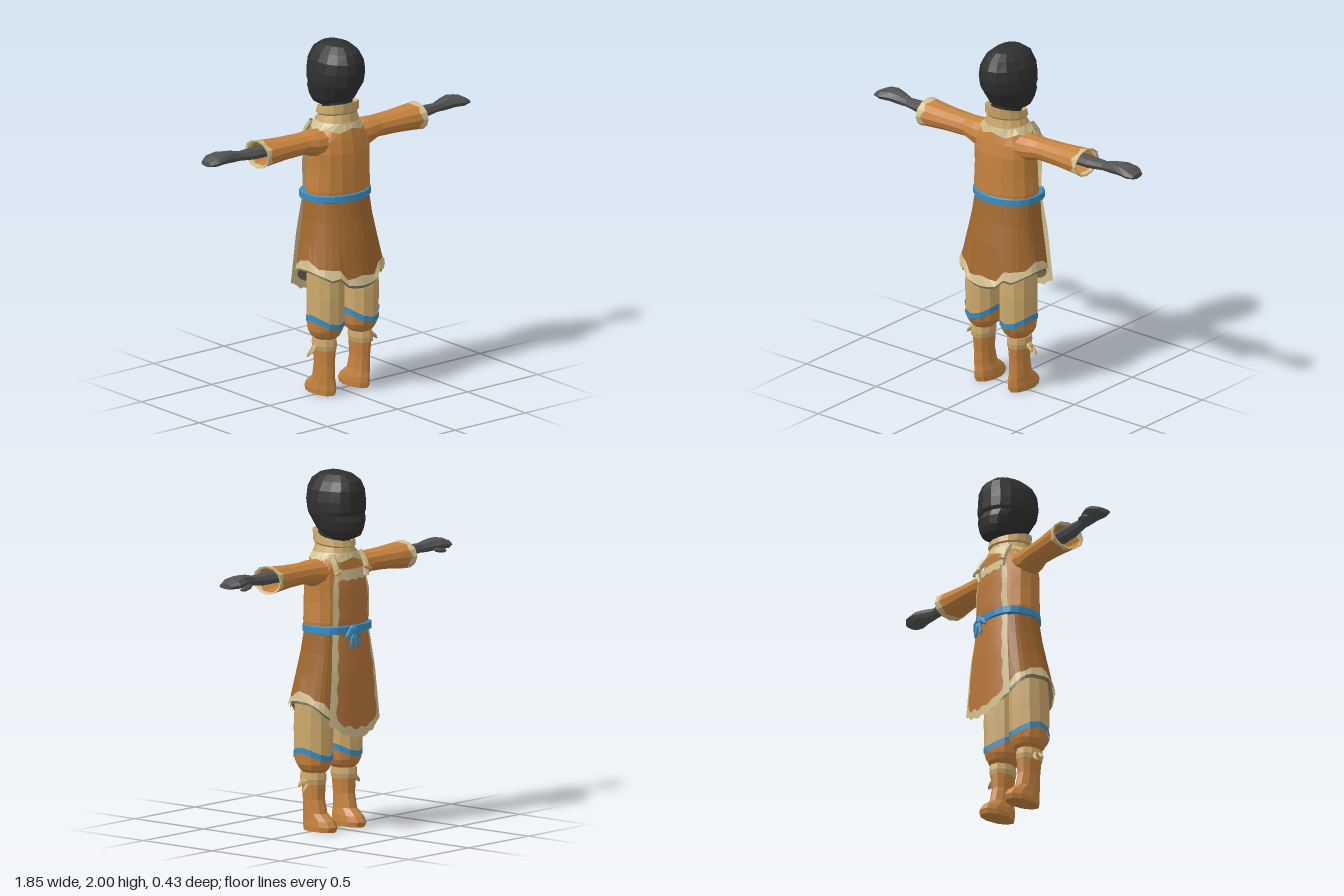
import * as THREE from 'three';
import { ParametricGeometry } from 'three/addons/geometries/ParametricGeometry.js';

const material = (name, color) => {
  const m = new THREE.MeshStandardMaterial({ color, flatShading: true, side: THREE.DoubleSide });
  m.name = name;
  return m;
};

// Skin through rings [y, rx, zBack, zFront, cx]; y may depend on the angle (0 = +z).
// p below 1 squares off the -z half.
function loft(rings, { n = 16, p = 1, caps = true } = {}) {
  const pos = [], index = [];
  const val = (y, a) => (typeof y === 'function' ? y(a) : y);
  for (const [y, rx, zb, zf, cx = 0] of rings) {
    for (let i = 0; i < n; i++) {
      let a = (i / n) * Math.PI * 2;
      if (a > Math.PI) a -= Math.PI * 2;
      const s = Math.sin(a), c = Math.cos(a), e = c < 0 ? p : 1;
      pos.push(cx + rx * Math.sign(s) * Math.abs(s) ** e, val(y, a),
        (zb + zf) / 2 + ((zb - zf) / 2) * Math.sign(c) * Math.abs(c) ** e);
    }
  }
  const up = val(rings[rings.length - 1][0], 0) > val(rings[0][0], 0);
  const tri = (a, b, c) => (up ? index.push(a, b, c) : index.push(a, c, b));
  for (let r = 0; r < rings.length - 1; r++) {
    for (let i = 0; i < n; i++) {
      const j = (i + 1) % n, a = r * n + i, b = r * n + j;
      tri(a, b, b + n);
      tri(a, b + n, a + n);
    }
  }
  if (caps) {
    const t = (rings.length - 1) * n;
    for (let i = 1; i < n - 1; i++) {
      tri(0, i + 1, i);
      tri(t, t + i, t + i + 1);
    }
  }
  const g = new THREE.BufferGeometry();
  g.setAttribute('position', new THREE.Float32BufferAttribute(pos, 3));
  g.setIndex(index);
  g.computeVertexNormals();
  return g;
}

function mirrored(geo) {
  const g = geo.clone().scale(-1, 1, 1), ix = g.index;
  for (let i = 0; i < ix.count; i += 3) {
    const t = ix.getX(i);
    ix.setX(i, ix.getX(i + 1));
    ix.setX(i + 1, t);
  }
  g.computeVertexNormals();
  return g;
}

// Linear lookup in a table of [y, value], y falling.
function at(table, y) {
  for (let i = 1; i < table.length; i++) {
    const [y0, v0] = table[i - 1], [y1, v1] = table[i];
    if (y >= y1 || i === table.length - 1) {
      return v0 + (v1 - v0) * THREE.MathUtils.clamp((y0 - y) / (y0 - y1), 0, 1);
    }
  }
}

export function createModel() {
  const model = new THREE.Group();
  const hood = material('black hood', 0x303030);
  const glove = material('grey glove', 0x525252);
  const leather = material('orange leather', 0xc6833f);
  const russet = material('russet apron', 0xb5753a);
  const brown = material('brown skirt', 0xa2692f);
  const lining = material('dark lining', 0x6e634b);
  const trim = material('pale trim', 0xd1bf8e);
  const cloth = material('tan cloth', 0xcdaa6c);
  const blue = material('blue sash', 0x3a8ec4);

  const add = (name, geo, mat) => {
    const m = new THREE.Mesh(geo, mat);
    m.name = name;
    model.add(m);
  };
  const pair = (name, geo, mat) => {
    add(name + 'Left', geo, mat);
    add(name + 'Right', mirrored(geo), mat);
  };
  const blob = (x, y, z, sx, sy, sz, tilt = 0) =>
    loft([[-1, .4, .4, -.4], [-.5, 1, 1, -1], [.5, 1, 1, -1], [1, .4, .4, -.4]], { n: 6 })
      .scale(sx, sy, sz).rotateZ(tilt).translate(x, y, z);

  // Head and neck, the face towards -z
  add('head', loft([[1.625, .055, -.01, -.14], [1.645, .09, .03, -.183], [1.68, .113, .08, -.197],
    [1.73, .13, .11, -.204], [1.765, .14, .132, -.192], [1.785, .144, .138, -.202],
    [1.84, .145, .148, -.2], [1.9, .135, .144, -.197], [1.95, .108, .12, -.178],
    [1.985, .068, .07, -.13], [2, .025, .01, -.06]], { p: .85 }), hood);
  add('neck', loft([[1.5, .075, .07, -.1], [1.68, .08, .075, -.12]], { n: 10 }), hood);

  // Collar, lower at the face side
  const slope = (y, k) => a => y + k * Math.cos(a);
  add('collar', loft([[slope(1.545, .005), .125, .098, -.14], [slope(1.59, .012), .108, .088, -.13],
    [slope(1.6, .015), .117, .1, -.142], [slope(1.645, .028), .112, .108, -.135],
    [slope(1.635, .028), .085, .08, -.11]], { n: 14, caps: false }), cloth);
  add('collarTrim', loft([[a => 1.515 + .012 * Math.cos(6 * a), .157, .108, -.152],
    [1.555, .123, .098, -.142]], { n: 24, caps: false }), trim);

  // Jacket body
  add('jacket', loft([[1.1, .188, .122, -.15], [1.17, .198, .127, -.153], [1.28, .192, .126, -.15],
    [1.39, .193, .123, -.142], [1.46, .186, .112, -.135], [1.52, .145, .1, -.14],
    [1.56, .1, .085, -.12]], { p: .85 }), leather);

  // Skirt with a wavy pale hem, short slits and a dark lining
  const hem = a => {
    const slit = Math.abs(Math.abs(a) - .59) < .06 ? .03 : 0;
    return .735 - .09 * Math.cos(a) ** 2 - (Math.cos(a) < 0 ? .03 * Math.cos(a) ** 2 : 0) + slit;
  };
  const hemTop = a => hem(a) + .042 + .014 * Math.cos(8 * a);
  const skirtOptions = { n: 32, p: .55, caps: false };
  add('skirt', loft([[1.12, .187, .125, -.142], [1, .199, .145, -.145], [.88, .22, .17, -.148],
    [hemTop, .244, .2, -.153]], skirtOptions), brown);
  add('skirtTrim', loft([[hemTop, .244, .2, -.153], [hem, .256, .215, -.158]], skirtOptions), trim);
  add('skirtLining', loft([[.95, .18, .14, -.13], [a => hem(a) - .016, .243, .205, -.148]],
    skirtOptions), lining);

  // Apron: curved sheet, v = 0 top to 1 hem, with pale borders
  const width = [[1.46, .12], [1.35, .15], [1.13, .15], [.9, .18], [.6, .212], [.52, .21]];
  const middleZ = [[1.46, -.15], [1.38, -.165], [1.2, -.18], [1.12, -.175], [.9, -.194], [.52, -.207]];
  const edgeZ = [[1.46, -.13], [1.3, -.143], [1.12, -.138], [.9, -.158], [.52, -.168]];
  const apronPoint = (u, v, out) => {
    const low = .53 + .085 * u * u + .008 * Math.cos(u * 16);
    const y = 1.46 + (low - 1.46) * v;
    const z0 = at(middleZ, y);
    out.set(at(width, y) * u, y, z0 + (at(edgeZ, y) - z0) * u * u);
  };
  const sheet = (inner, lift) => new ParametricGeometry((s, t, out) => {
    const u = (s * 2 - 1) * (inner ? .8 + .03 * Math.cos(t * 40) : 1);
    const wave = .012 * Math.cos(s * 22);
    apronPoint(u, inner ? .06 + t * .885 + (t - .5) * wave : t, out);
    out.z -= lift;
  }, 14, 22);
  add('apronBorder', sheet(false, 0), trim);
  add('apron', sheet(true, .004), russet);

  // Shoulder straps with toggles
  const strap = new THREE.CatmullRomCurve3([new THREE.Vector3(.115, 1.41, -.15),
    new THREE.Vector3(.125, 1.48, -.14), new THREE.Vector3(.115, 1.545, -.1)]);
  pair('strap', new THREE.TubeGeometry(strap, 5, .017, 6), trim);
  pair('toggle', blob(.122, 1.455, -.158, .012, .032, .012, 1.2), cloth);

  // Sash, knot and hanging ends
  add('sash', loft([[1.11, .196, .128, -.178], [1.113, .204, .136, -.188], [1.15, .204, .136, -.188],
    [1.155, .196, .128, -.178]], { n: 20, p: .7 }), blue);
  add('sashKnot', blob(.04, 1.13, -.192, .028, .028, .02), blue);
  for (const s of [-1, 1]) {
    add('sashLoop', blob(.04 + s * .032, 1.115, -.193, .016, .035, .012, s * .7), blue);
    add('sashEnd', blob(.04 + s * .018, 1.07, -.203, .013, .045, .009, s * .25), blue);
  }

  // Arms: lofted along y, then laid along +x (the ring offset is minus the height)
  const arm = (rings, options) => loft(rings, options).rotateZ(-Math.PI / 2);
  const cuffTop = a => .535 + .01 * Math.cos(6 * a);
  pair('sleeve', arm([[.08, .075, .08, -.11, -1.445], [.19, .075, .07, -.1, -1.447],
    [.26, .06, .056, -.095, -1.456], [.4, .063, .062, -.104, -1.456],
    [cuffTop, .074, .072, -.12, -1.455]], { n: 12, caps: false }), leather);
  pair('cuff', arm([[cuffTop, .074, .072, -.12, -1.455], [.57, .08, .078, -.128, -1.455],
    [.565, .068, .066, -.115, -1.455]], { n: 12, caps: false }), trim);
  pair('hand', arm([[.45, .036, .022, -.07, -1.467], [.6, .035, .02, -.067, -1.467],
    [.7, .028, .006, -.055, -1.472], [.76, .036, .012, -.075, -1.478], [.82, .036, .022, -.097, -1.483],
    [.88, .03, .032, -.106, -1.477], [.925, .014, .012, -.075, -1.468]], { n: 8 }), glove);
  pair('thumb', blob(.81, 1.452, -.085, .014, .045, .02, 1.4), glove);

  // Legs: trousers, blue zigzag band, gathered knee and boots
  const cx = .122;
  const band = y => a => y - .025 * Math.cos(2 * a);
  const legOptions = { n: 12, caps: false };
  pair('trouserLeg', loft([[.9, .095, .1, -.08, cx], [.7, .1, .135, -.088, cx], [.58, .102, .142, -.09, cx],
    [band(.447), .102, .139, -.087, cx]], legOptions), cloth);
  pair('kneeBand', loft([[band(.447), .105, .143, -.09, cx], [band(.414), .105, .141, -.089, cx]],
    legOptions), blue);
  pair('knee', loft([[band(.416), .102, .138, -.086, cx], [.375, .094, .127, -.08, cx],
    [.345, .078, .11, -.066, cx], [.325, .055, .09, -.045, cx]], { n: 12 }), leather);
  pair('boot', loft([[0, .056, .09, -.125, .12], [.028, .058, .096, -.135, .12],
    [.06, .055, .095, -.115, .12], [.1, .049, .09, -.062, .124], [.18, .047, .09, -.045, .126],
    [.27, .053, .098, -.05, .126], [.33, .054, .095, -.045, .126]], { n: 10, p: .85 }), leather);
  pair('bootCuff', loft([[.262, .057, .1, -.053, .128], [.29, .063, .104, -.058, .128],
    [.325, .06, .1, -.055, .128]], { n: 10 }), cloth);
  pair('bootKnot', blob(.197, .275, .02, .018, .018, .02), cloth);
  for (const s of [-1, 1]) {
    pair('bootTie', blob(.215, .262 + s * .012, .02 + s * .018, .009, .028, .012, .7), cloth);
  }
  return model;
}
